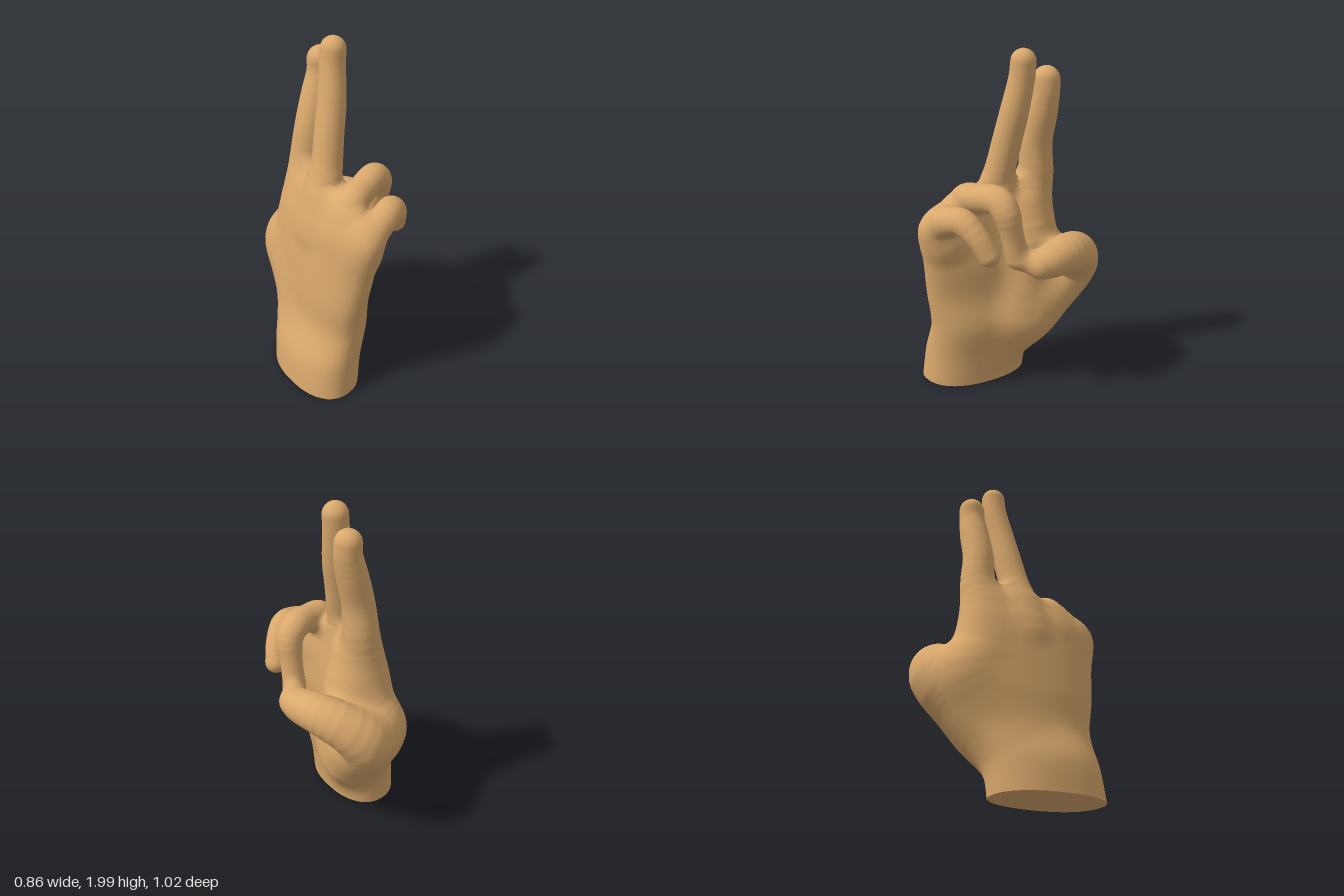
import * as THREE from 'three';

const SIDES = 40;
const skinMaterial = new THREE.MeshStandardMaterial({ color: 0xd9a86c });

// Palm and wrist: [y, centre x, centre z, half thickness, half width, slant]
const PALM = [
  [0.01, -0.22, 0.11, 0.205, 0.31, -0.04],
  [0.2, -0.19, 0.095, 0.205, 0.315, -0.04],
  [0.4, -0.115, 0.06, 0.19, 0.35, -0.06],
  [0.6, -0.11, 0.05, 0.175, 0.385, -0.07],
  [0.8, -0.1, 0.07, 0.165, 0.395, -0.06],
  [1.0, -0.1, 0.11, 0.14, 0.385, -0.05],
  [1.1, -0.09, 0.1, 0.115, 0.345, -0.05],
  [1.19, -0.07, 0.06, 0.085, 0.26, -0.04],
  [1.25, -0.04, -0.04, 0.05, 0.13, -0.03],
];

// Limbs: rows of [x, y, z, radius]
const BODY_LIMBS = {
  thumb: [
    [-0.1, 0.22, 0.0, 0.13], [0.02, 0.38, -0.11, 0.16], [0.065, 0.54, -0.22, 0.175],
    [0.13, 0.69, -0.35, 0.158], [0.235, 0.81, -0.3, 0.13], [0.305, 0.87, -0.18, 0.115],
    [0.33, 0.875, -0.05, 0.1], [0.322, 0.865, 0.035, 0.083]],
  thumbWeb: [
    [-0.1, 0.35, -0.06, 0.16], [-0.06, 0.54, -0.19, 0.165], [-0.045, 0.68, -0.275, 0.16],
    [-0.02, 0.8, -0.21, 0.145], [-0.01, 0.95, -0.16, 0.125]],
  palmPad: [
    [-0.01, 0.45, -0.04, 0.15], [0.035, 0.7, -0.09, 0.14], [0.045, 0.9, -0.1, 0.125],
    [0.01, 1.1, -0.1, 0.1]],
};
const FINGERS = {
  indexFinger: [
    [-0.02, 0.9, -0.15, 0.13], [-0.01, 1.1, -0.17, 0.118], [0.015, 1.28, -0.18, 0.102],
    [0.03, 1.46, -0.17, 0.091], [0.075, 1.63, -0.17, 0.086], [0.105, 1.75, -0.17, 0.077],
    [0.107, 1.825, -0.172, 0.075]],
  middleFinger: [
    [-0.11, 0.95, 0.06, 0.12], [-0.09, 1.15, 0.05, 0.1], [-0.045, 1.32, 0.03, 0.087],
    [-0.01, 1.48, 0.01, 0.083], [0.03, 1.65, -0.01, 0.08], [0.06, 1.83, -0.035, 0.072],
    [0.07, 1.93, -0.04, 0.07]],
  ringFinger: [
    [-0.11, 1.0, 0.25, 0.11], [-0.08, 1.17, 0.25, 0.09], [0.03, 1.21, 0.23, 0.08],
    [0.15, 1.22, 0.2, 0.08], [0.21, 1.16, 0.185, 0.075], [0.225, 1.04, 0.16, 0.064],
    [0.235, 0.9, 0.13, 0.065]],
  littleFinger: [
    [-0.11, 0.95, 0.37, 0.1], [-0.1, 1.05, 0.405, 0.095], [0.0, 1.11, 0.41, 0.08],
    [0.09, 1.12, 0.385, 0.075], [0.17, 1.05, 0.35, 0.064], [0.215, 0.955, 0.31, 0.063]],
};

// Smooth interpolation through rows of numbers, t from 0 to 1
function blend(rows, t) {
  const last = rows.length - 1;
  const f = Math.min(Math.max(t, 0), 1) * last;
  const i = Math.min(Math.floor(f), last - 1);
  const u = f - i;
  const row = k => rows[Math.min(Math.max(k, 0), last)];
  return rows[0].map((_, c) => {
    const [a, b, d, e] = [row(i - 1)[c], row(i)[c], row(i + 1)[c], row(i + 2)[c]];
    return b + 0.5 * u * (d - a + u * (2 * a - 5 * b + 4 * d - e + u * (3 * (b - d) + e - a)));
  });
}

// Distance from a point to a limb
function limbDistance(rows) {
  const n = (rows.length - 1) * 6;
  const chain = Array.from({ length: n + 1 }, (_, i) => blend(rows, i / n));
  return (x, y, z) => {
    let best = Infinity;
    for (let i = 0; i < n; i++) {
      const a = chain[i], b = chain[i + 1];
      const dx = b[0] - a[0], dy = b[1] - a[1], dz = b[2] - a[2];
      const px = x - a[0], py = y - a[1], pz = z - a[2];
      let h = (px * dx + py * dy + pz * dz) / (dx * dx + dy * dy + dz * dz);
      h = Math.min(Math.max(h, 0), 1);
      const qx = px - h * dx, qy = py - h * dy, qz = pz - h * dz;
      best = Math.min(best, Math.sqrt(qx * qx + qy * qy + qz * qz) - a[3] - h * (b[3] - a[3]));
    }
    return best;
  };
}

// Distance from a point to the palm, measured across the section at its height
const SQUARE = 0.88;
const palmSlices = Array.from({ length: 249 }, (_, i) => blend(PALM, i / 248));
function palmDistance(x, y, z) {
  let lo = 0, hi = palmSlices.length - 1;
  while (hi - lo > 1) {
    const mid = (lo + hi) >> 1;
    if (palmSlices[mid][0] <= y) lo = mid; else hi = mid;
  }
  const a = palmSlices[lo], b = palmSlices[hi];
  const u = Math.min(Math.max((y - a[0]) / (b[0] - a[0]), 0), 1);
  const [, cx, cz, hx, hz, slant] = a.map((v, i) => v + u * (b[i] - v));
  const c = (z - cz) / hz, s = (x - cx - slant * c) / hx;
  const q = (Math.abs(c) ** (2 / SQUARE) + Math.abs(s) ** (2 / SQUARE)) ** (SQUARE / 2);
  const d = Math.hypot(x - cx, z - cz) * (1 - 1 / (q + 1e-6));
  return y > 1.25 ? Math.hypot(Math.max(d, 0), y - 1.25) : d;
}

// Whole hand: every finger flows into the palm with a rounded join
const join = (a, b, k) => Math.min(a, b) - Math.max(k - Math.abs(a - b), 0) ** 2 / (4 * k);
const bodyFields = Object.values(BODY_LIMBS).map(limbDistance);
const fingerFields = Object.values(FINGERS).map(limbDistance);
function handDistance(x, y, z) {
  const body = bodyFields.reduce((d, f) => join(d, f(x, y, z), 0.1), palmDistance(x, y, z));
  return Math.min(...fingerFields.map(f => join(body, f(x, y, z), 0.08)));
}
function slope(p) {
  const e = 0.003, f = handDistance;
  return new THREE.Vector3(
    f(p.x + e, p.y, p.z) - f(p.x - e, p.y, p.z),
    f(p.x, p.y + e, p.z) - f(p.x, p.y - e, p.z),
    f(p.x, p.y, p.z + e) - f(p.x, p.y, p.z - e)).divideScalar(2 * e);
}

// Closed surface through rings of points, settled onto the rounded joins
function loft(name, rings) {
  const points = rings.flat();
  const normals = points.map(p => {
    for (let i = 0; i < 2; i++) {
      const d = handDistance(p.x, p.y, p.z);
      if (d < -0.06 || Math.abs(d) < 1e-4) break;
      const g = slope(p);
      p.addScaledVector(g, -d / Math.max(g.lengthSq(), 0.3));
    }
    return slope(p).normalize();
  });
  const index = [];
  for (let i = 0; i < rings.length - 1; i++) {
    for (let j = 0; j < SIDES; j++) {
      const a = i * SIDES + j, b = i * SIDES + (j + 1) % SIDES;
      index.push(a, b, b + SIDES, a, b + SIDES, a + SIDES);
    }
  }
  // Flat end caps
  for (const [ring, flip] of [[rings[0], true], [rings[rings.length - 1], false]]) {
    const start = points.length;
    const centre = new THREE.Vector3();
    ring.forEach(p => centre.addScaledVector(p, 1 / SIDES));
    const facing = ring[0].clone().sub(centre).cross(ring[SIDES / 4].clone().sub(centre)).normalize();
    if (flip) facing.negate();
    points.push(...ring, centre);
    for (let j = 0; j <= SIDES; j++) normals.push(facing);
    for (let j = 0; j < SIDES; j++) {
      const a = start + j, b = start + (j + 1) % SIDES;
      index.push(start + SIDES, flip ? b : a, flip ? a : b);
    }
  }
  const geometry = new THREE.BufferGeometry().setFromPoints(points);
  geometry.setAttribute('normal', new THREE.Float32BufferAttribute(normals.flatMap(n => n.toArray()), 3));
  geometry.setIndex(index);
  const mesh = new THREE.Mesh(geometry, skinMaterial);
  mesh.name = name;
  return mesh;
}

const circle = f => Array.from({ length: SIDES }, (_, j) => f(j / SIDES * Math.PI * 2));

// Round-ended limb
function limb([name, rows]) {
  const steps = (rows.length - 1) * 9;
  const rings = [];
  const normal = new THREE.Vector3(0.3, 0.1, 1);
  const at = t => new THREE.Vector3(...blend(rows, t).slice(0, 3));
  const addRing = (t, angle) => {
    const tangent = at(t + 0.01).sub(at(t - 0.01)).normalize();
    normal.addScaledVector(tangent, -normal.dot(tangent)).normalize();
    const side = tangent.clone().cross(normal);
    const r = blend(rows, t)[3];
    const centre = at(t).addScaledVector(tangent, r * Math.sin(angle));
    rings.push(circle(a => centre.clone()
      .addScaledVector(normal, r * Math.cos(angle) * Math.cos(a))
      .addScaledVector(side, r * Math.cos(angle) * Math.sin(a))));
  };
  for (let k = 7; k > 0; k--) addRing(0, -k / 7 * 1.54);
  for (let i = 0; i <= steps; i++) addRing(i / steps, 0);
  for (let k = 1; k <= 7; k++) addRing(1, k / 7 * 1.54);
  return loft(name, rings);
}

function palm() {
  const soft = v => Math.sign(v) * Math.abs(v) ** SQUARE;
  const rings = Array.from({ length: 73 }, (_, i) => {
    const [y, cx, cz, hx, hz, slant] = blend(PALM, i / 72);
    return circle(a => new THREE.Vector3(
      cx + hx * soft(Math.sin(a)) + slant * soft(Math.cos(a)), y, cz + hz * soft(Math.cos(a))));
  });
  return loft('palm', rings);
}

export function createModel() {
  const hand = new THREE.Group();
  hand.name = 'hand';
  hand.add(palm(), ...Object.entries({ ...BODY_LIMBS, ...FINGERS }).map(limb));
  return hand;
}
